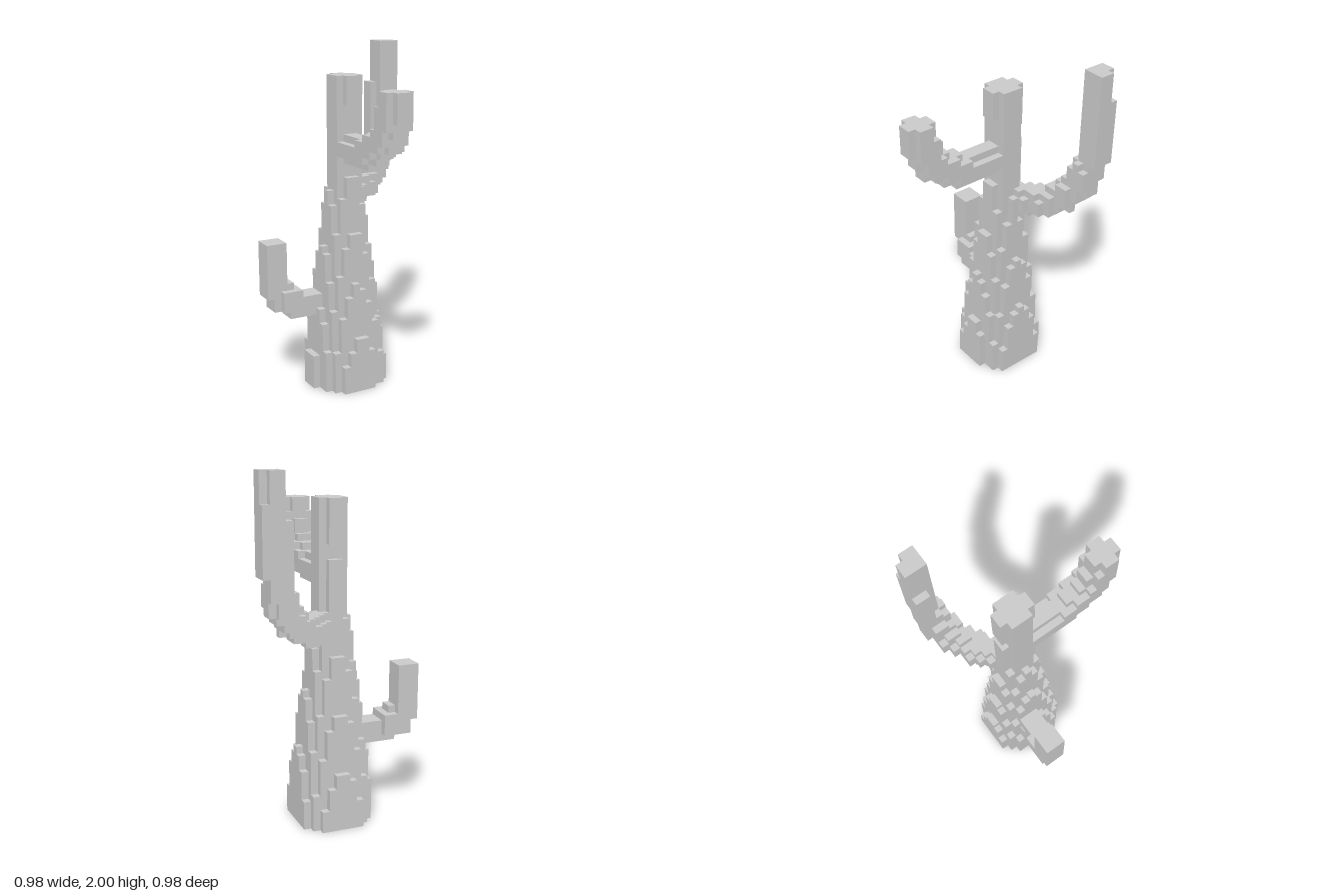
import * as THREE from 'three';

const N = 24;          // cubes across the model
const U = 0.98 / N;    // cube size, 49 cubes tall

// True when the point lies within r of a polyline
function nearPath(points, r) {
  const pts = points.map((p) => new THREE.Vector3(...p));
  const lines = pts.slice(1).map((p, i) => new THREE.Line3(pts[i], p));
  const q = new THREE.Vector3();
  return (p) => lines.some((l) => l.closestPointToPoint(p, true, q).distanceTo(p) < r);
}

// True when the point lies in one of the boxes [x0, x1, y0, y1, z0, z1]
function inBoxes(...boxes) {
  return (p) => boxes.some(([x0, x1, y0, y1, z0, z1]) =>
    p.x > x0 && p.x < x1 && p.y > y0 && p.y < y1 && p.z > z0 && p.z < z1);
}

// Trunk: tapering round column, with raised ribs near the top
const ribs = inBoxes(
  [-1, 1, 28, 37, -6, -5], [-1, 1, 39, 45, -6, -5], [-1, 1, 41, 45, -2, -1]);
function trunk(p) {
  if (p.y > 45) return false;
  const r = THREE.MathUtils.clamp(6.05 - 0.128 * p.y, 1.97, 5.62);
  return Math.hypot(p.x + 0.13, p.z + 3.54) < r || ribs(p);
}

// Front arm: runs forward, then bends up
const frontPath = nearPath(
  [[0, 35, -3], [0, 35, 3], [0, 36.4, 6.3], [0, 38.4, 8.7], [0, 41.5, 10], [0, 48, 10]], 2.05);
const frontArm = (p) => p.y < 44 && frontPath(p);

// Left arm: sweeps out to the back corner and rises highest
const leftPath = nearPath(
  [[2, 28, -5.3], [4.5, 28.2, -7], [7, 29.5, -8.6], [9, 32, -9.8], [9.7, 34.5, -10]], 1.95);
const leftColumn = inBoxes(
  [9, 12, 36, 45, -12, -9], [9, 11, 45, 49, -12, -9], [11, 12, 45, 49, -11, -9],
  [8, 9, 34, 43, -12, -10], [9, 11, 33, 36, -12, -9]);
const leftArm = (p) => leftColumn(p) || (p.y < 36 && p.x < 11 && leftPath(p));

// Right arm: low elbow
const rightArm = inBoxes(
  [-12, -9, 14, 22, -7, -4], [-11, -9, 12, 14, -7, -4], [-10, -7, 12, 15, -7, -3],
  [-9, -8, 15, 16, -6, -4], [-9, -3, 11, 14, -6, -3]);

const DIRS = [0, 1, 2].flatMap((a) => [1, -1].map((s) => ({ a, s })));
const key = (c) => c.join();

// Outer faces of a part's cubes, skipping those covered by any other cube
function cubeSurface(cells, owner) {
  const pos = [];
  for (const c of cells) {
    for (const { a, s } of DIRS) {
      const n = [...c];
      n[a] += s;
      if (owner.has(key(n))) continue;
      const b = (a + 1) % 3, d = (a + 2) % 3;
      const quad = [[0, 0], [1, 0], [1, 1], [0, 1]].map(([i, j]) => {
        const v = [...c];
        v[a] += s > 0 ? 1 : 0;
        v[b] += i;
        v[d] += j;
        return v.map((k) => k * U);
      });
      if (s < 0) quad.reverse();
      for (const i of [0, 1, 2, 0, 2, 3]) pos.push(...quad[i]);
    }
  }
  const geo = new THREE.BufferGeometry();
  geo.setAttribute('position', new THREE.Float32BufferAttribute(pos, 3));
  geo.computeVertexNormals();
  return geo;
}

export function createModel() {
  const group = new THREE.Group();
  group.name = 'cactus';
  const parts = { trunk, frontArm, leftArm, rightArm };
  const cells = {};
  const owner = new Map();
  for (const name in parts) cells[name] = [];

  // Give each filled cube to the first part that contains it
  const p = new THREE.Vector3();
  for (let x = -12; x < 12; x++)
    for (let y = 0; y < 49; y++)
      for (let z = -12; z < 12; z++) {
        p.set(x + 0.5, y + 0.5, z + 0.5);
        const name = Object.keys(parts).find((k) => parts[k](p));
        if (!name) continue;
        cells[name].push([x, y, z]);
        owner.set(key([x, y, z]), name);
      }

  const material = new THREE.MeshStandardMaterial({ color: 0xcccccc, flatShading: true });
  for (const name in parts) {
    const mesh = new THREE.Mesh(cubeSurface(cells[name], owner), material);
    mesh.name = name;
    group.add(mesh);
  }
  return group;
}
